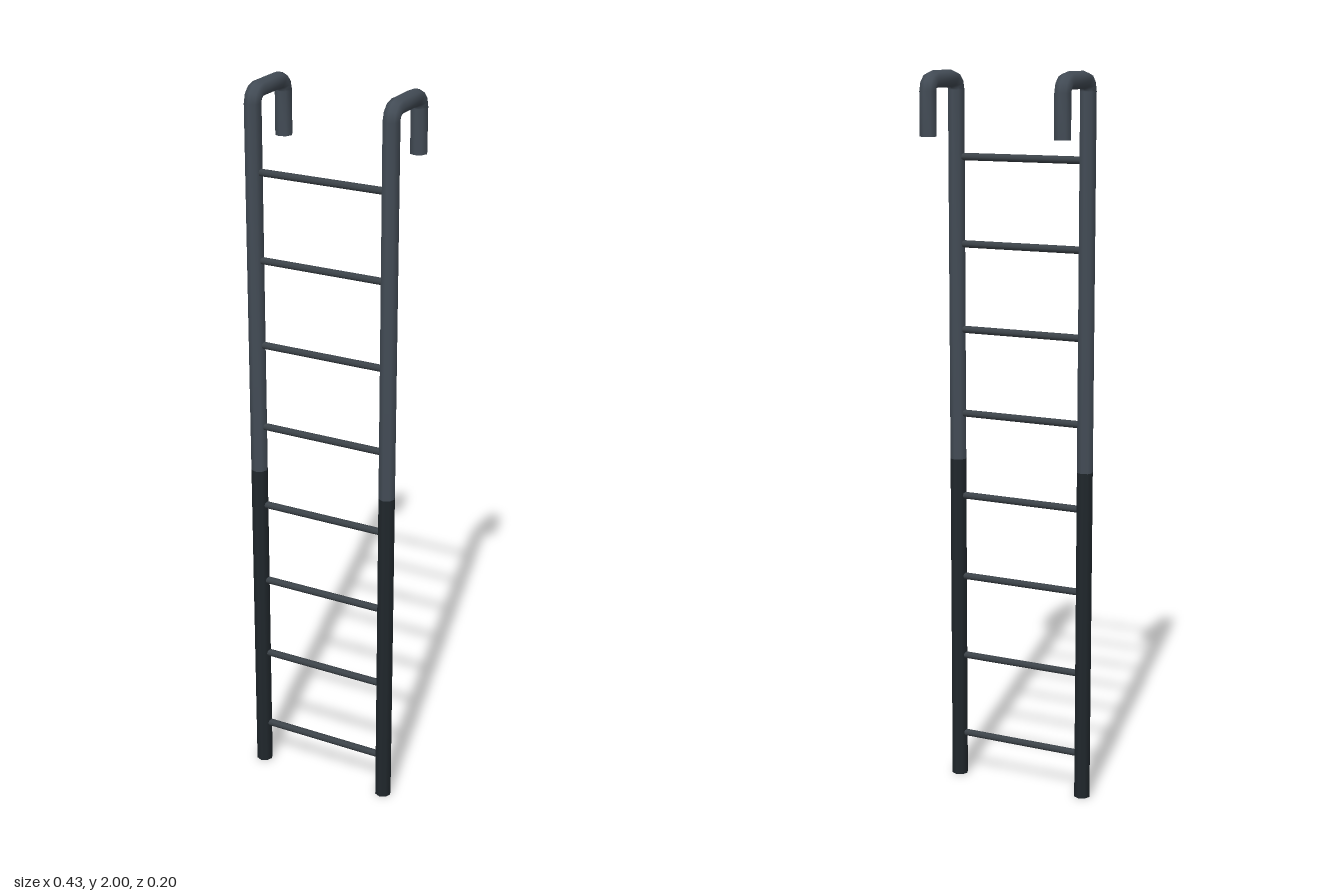
import * as THREE from 'three';

const SIDES = 8, RAIL_R = 0.023, RAIL_X = 0.194, RAIL_Z = 0.078;
const SPLIT_Y = 0.935, TOP_Y = 1.977, HOOK_END_Y = 1.83, BEND_R = 0.03;

// Round bar that rises, bends back over the top and turns down as a hook
function hookedBarGeometry() {
  const rings = [{ z: RAIL_Z, y: SPLIT_Y, t: 0 }];
  for (const [side, start] of [[1, 0], [-1, Math.PI / 2]]) {
    for (let i = 0; i <= 3; i++) {
      const t = start + (i / 3) * Math.PI / 2;
      rings.push({
        z: side * (RAIL_Z - BEND_R) + BEND_R * Math.cos(t),
        y: TOP_Y - BEND_R + BEND_R * Math.sin(t),
        t,
      });
    }
  }
  rings.push({ z: -RAIL_Z, y: HOOK_END_Y, t: Math.PI });

  const positions = [], index = [];
  rings.forEach(({ z, y, t }, i) => {
    for (let j = 0; j < SIDES; j++) {
      const a = (j / SIDES) * Math.PI * 2;
      const out = RAIL_R * Math.cos(a);
      positions.push(RAIL_R * Math.sin(a), y + out * Math.sin(t), z + out * Math.cos(t));
      if (i === rings.length - 1) continue;
      const k = (j + 1) % SIDES, p = i * SIDES, q = p + SIDES;
      index.push(p + j, p + k, q + j, p + k, q + k, q + j);
    }
  });
  const geometry = new THREE.BufferGeometry();
  geometry.setAttribute('position', new THREE.Float32BufferAttribute(positions, 3));
  geometry.setIndex(index);
  geometry.computeVertexNormals();
  return geometry;
}

function material(name, color) {
  const m = new THREE.MeshStandardMaterial({ color });
  m.name = name;
  return m;
}

export function createModel() {
  const ladder = new THREE.Group();
  ladder.name = 'hookLadder';
  const slate = material('slate grey', 0x434c56);
  const dark = material('dark grey', 0x20272c);
  const rungGrey = material('rung grey', 0x3c4349);

  const add = (parent, name, geometry, mat, x, y, z) => {
    const mesh = new THREE.Mesh(geometry, mat);
    mesh.name = name;
    mesh.position.set(x, y, z);
    parent.add(mesh);
    return mesh;
  };

  // Side rails: dark lower half, lighter hooked upper half
  const upper = hookedBarGeometry();
  const lower = new THREE.CylinderGeometry(RAIL_R, RAIL_R, SPLIT_Y, SIDES);
  const cap = new THREE.CircleGeometry(RAIL_R, SIDES);
  for (const [name, side] of [['leftRail', 1], ['rightRail', -1]]) {
    const rail = new THREE.Group();
    rail.name = name;
    rail.position.x = side * RAIL_X;
    add(rail, 'lowerRail', lower, dark, 0, SPLIT_Y / 2, RAIL_Z);
    add(rail, 'upperRailWithHook', upper, slate, 0, 0, 0);
    add(rail, 'hookEnd', cap, slate, 0, HOOK_END_Y, -RAIL_Z).rotation.x = Math.PI / 2;
    ladder.add(rail);
  }

  // Evenly spaced rungs
  const rung = new THREE.CylinderGeometry(0.01, 0.01, RAIL_X * 2, SIDES);
  for (let i = 0; i < 8; i++) {
    add(ladder, `rung${i + 1}`, rung, rungGrey, 0, 0.125 + i * 0.235, RAIL_Z).rotation.z = Math.PI / 2;
  }
  return ladder;
}
